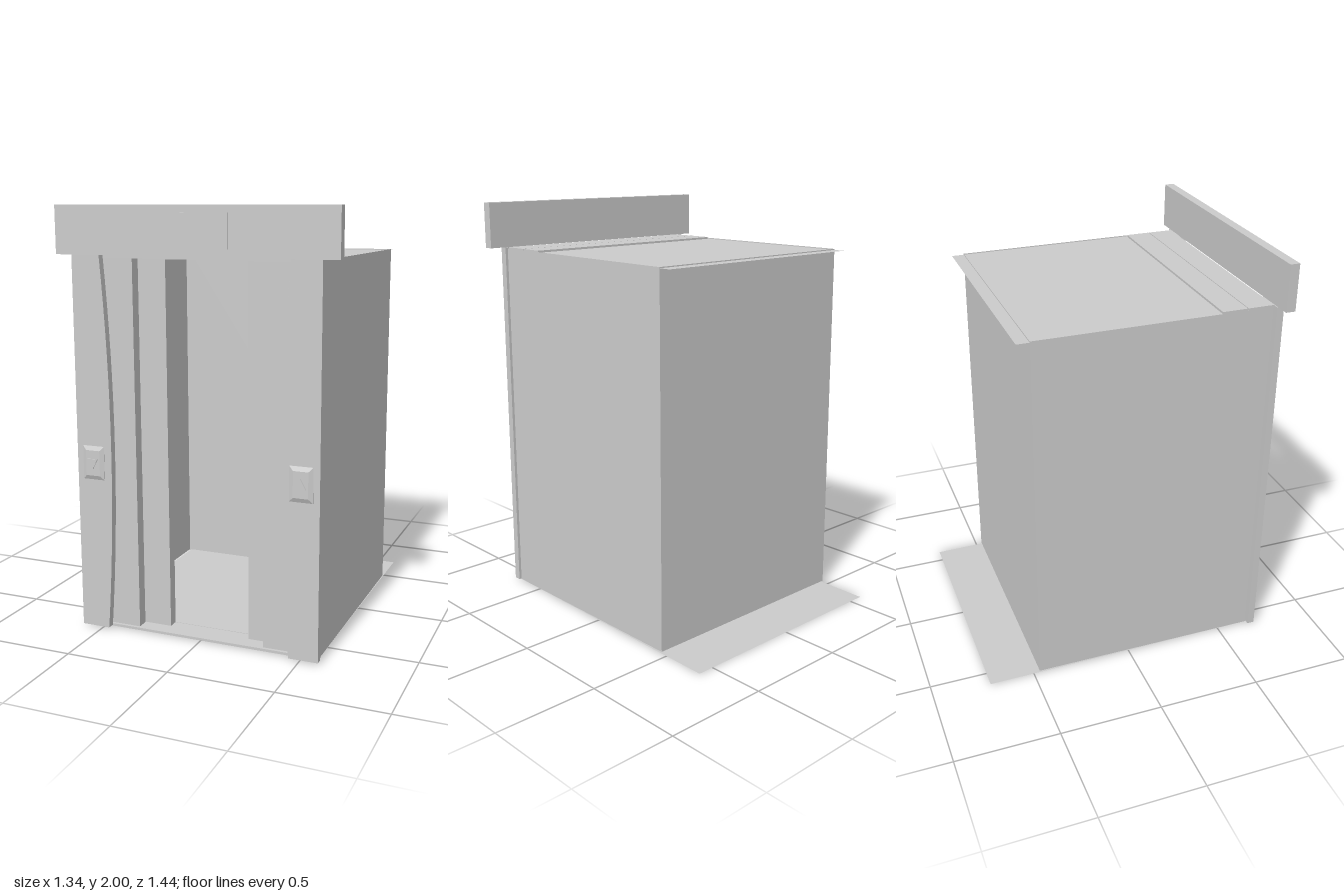
import * as THREE from 'three';

const mat = new THREE.MeshStandardMaterial({ color: 0xcccccc, flatShading: true, side: THREE.DoubleSide });

export function createModel() {
  const root = new THREE.Group();
  const add = (name, geometry, parent = root) => {
    const mesh = new THREE.Mesh(geometry, mat);
    mesh.name = name;
    parent.add(mesh);
    return mesh;
  };
  // Box given by its limits on each axis
  const box = (name, x0, x1, y0, y1, z0, z1) => {
    const mesh = add(name, new THREE.BoxGeometry(x1 - x0, y1 - y0, z1 - z0));
    mesh.position.set((x0 + x1) / 2, (y0 + y1) / 2, (z0 + z1) / 2);
    return mesh;
  };
  // Horizontal sheet between two depths, optionally sloping
  const sheet = (name, halfWidth, zBack, yBack, zFront, yFront) => {
    const g = new THREE.PlaneGeometry(halfWidth * 2, 1);
    const p = g.attributes.position;
    for (let i = 0; i < p.count; i++) {
      const back = p.getY(i) > 0;
      p.setXYZ(i, p.getX(i), back ? yBack : yFront, back ? zBack : zFront);
    }
    g.computeVertexNormals();
    return add(name, g);
  };

  // Cabin shell of thin sheets: roof and floor overhang the back wall
  sheet('floor', 0.58, -0.72, 0, 0.66, 0.01);
  sheet('roof', 0.58, -0.53, 1.77, 0.655, 1.77);
  const backWall = add('backWall', new THREE.PlaneGeometry(1.16, 1.765));
  backWall.position.set(0, 0.8925, -0.47);
  backWall.rotation.y = Math.PI;
  for (const [name, s] of [['leftWall', 1], ['rightWall', -1]]) {
    const wall = add(name, new THREE.PlaneGeometry(1.125, 1.765));
    wall.position.set(s * 0.58, 0.8925, 0.0925);
    wall.rotation.y = s * Math.PI / 2;
  }

  // Door tracks above and below the opening
  for (const [name, z0, z1] of [['inner', 0.412, 0.533], ['outer', 0.537, 0.66]]) {
    box(name + 'TopTrack', -0.57, 0.57, 1.765, 1.78, z0, z1);
    box(name + 'BottomTrack', -0.575, 0.575, 0.006, 0.018, z0, z1);
  }

  // Sliding door leaves, parked open behind the frame
  box('rightOuterDoor', -0.565, -0.32, 0.018, 1.767, 0.59, 0.645);
  box('rightInnerDoor', -0.53, -0.185, 0.018, 1.767, 0.535, 0.585);
  box('leftOuterDoor', 0.31, 0.565, 0.018, 1.767, 0.59, 0.645);
  box('leftInnerDoor', 0.215, 0.53, 0.018, 1.767, 0.535, 0.585);

  // Front jambs with an inner edge bowing into the opening
  const jamb = (name, outer, inner, control) => {
    const shape = new THREE.Shape();
    shape.moveTo(outer, 0.01);
    shape.lineTo(inner, 0.01);
    shape.quadraticCurveTo(control, 0.89, inner, 1.78);
    shape.lineTo(outer, 1.78);
    shape.closePath();
    const g = new THREE.ExtrudeGeometry(shape, { depth: 0.035, bevelEnabled: false, curveSegments: 16 });
    add(name, g).position.z = 0.66;
  };
  jamb('rightJamb', -0.6, -0.46, -0.385);
  jamb('leftJamb', 0.59, 0.45, 0.382);

  // Header beam and its display plate
  box('header', -0.67, 0.67, 1.78, 2, 0.665, 0.711);
  box('displayPlate', -0.175, 0.175, 1.815, 1.968, 0.7, 0.717);

  // Bevelled call panels with a raised triangular button
  const callPanel = (name, x, dir) => {
    const group = new THREE.Group();
    group.name = name;
    group.position.set(x, 0.82, 0.695);
    root.add(group);
    const rect = new THREE.Shape([[-1, -1], [1, -1], [1, 1], [-1, 1]]
      .map(([a, b]) => new THREE.Vector2(a * 0.035, b * 0.06)));
    const plate = new THREE.ExtrudeGeometry(rect, {
      depth: 0.002, bevelThickness: 0.009, bevelSize: 0.02, bevelSegments: 1,
    });
    add('callPlate', plate, group);
    const tri = new THREE.Shape([[-0.026, -0.02], [0.026, -0.02], [0, 0.028]]
      .map(([a, b]) => new THREE.Vector2(a * dir, b * dir)));
    const button = new THREE.ExtrudeGeometry(tri, { depth: 0.006, bevelEnabled: false });
    add('arrowButton', button, group).position.z = 0.01;
  };
  callPanel('rightCallPanel', -0.515, -1);
  callPanel('leftCallPanel', 0.505, 1);

  return root;
}
